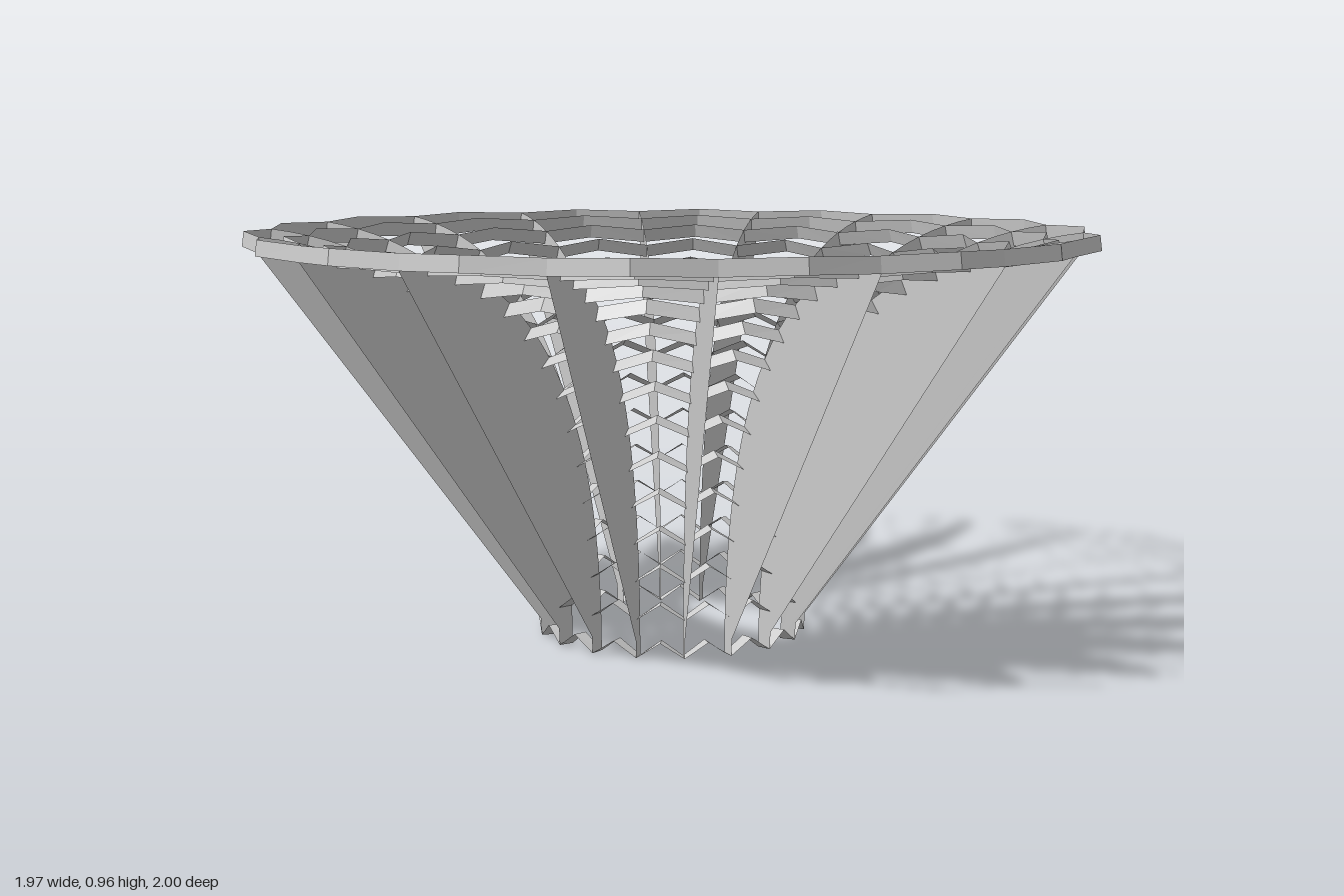
import * as THREE from 'three';

const SIDES = 18;       // fins around the axis
const RINGS = 15;       // zigzag hoops along the flare
const BAND = 0.036;     // hoop width, across the profile
const ZIG = 0.036;      // zigzag height, along the profile

// Flared profile (radius, height): upright at the foot, nearly level at the rim
const flare = new THREE.QuadraticBezierCurve(
  new THREE.Vector2(0.32, 0),
  new THREE.Vector2(0.32, 0.84),
  new THREE.Vector2(0.964, 0.92)
);

// Profile point: moved along the tangent (t) and towards the inside (n)
function profile(u, t, n) {
  const p = flare.getPointAt(u), d = flare.getTangentAt(u);
  return new THREE.Vector2(p.x + t * d.x - n * d.y, p.y + t * d.y + n * d.x);
}

// Zigzag hoop: peaks between the fins, valleys on the fins
function hoopGeometry(u) {
  const pos = [], index = [], count = SIDES * 2;
  for (let i = 0; i < count; i++) {
    const a = (i / count) * Math.PI * 2;
    const t = i % 2 === 0 ? ZIG : 0;
    for (const n of [0, BAND]) {
      const p = profile(u, t, n);
      pos.push(p.x * Math.sin(a), p.y, p.x * Math.cos(a));
    }
    const j = (i + 1) % count;
    index.push(2 * i, 2 * j, 2 * j + 1, 2 * i, 2 * j + 1, 2 * i + 1);
  }
  const g = new THREE.BufferGeometry();
  g.setAttribute('position', new THREE.Float32BufferAttribute(pos, 3));
  g.setIndex(index);
  const flat = g.toNonIndexed();
  flat.computeVertexNormals();
  return flat;
}

// Flat fin: curved edge along the inside of the hoops, straight outer edge
function finGeometry() {
  const points = [profile(0, 0, 0)];
  const steps = 28;
  for (let i = 0; i <= steps; i++) points.push(profile(i / steps, 0, BAND));
  points.push(profile(1, 0, 0), new THREE.Vector2(0.322, 0.04));
  return new THREE.ShapeGeometry(new THREE.Shape(points));
}

export function createModel() {
  const model = new THREE.Group();
  model.name = 'flaredBowl';
  const material = new THREE.MeshStandardMaterial({
    color: 0xcccccc, flatShading: true, side: THREE.DoubleSide
  });

  // Hoops
  const hoops = new THREE.Group();
  hoops.name = 'zigzagHoops';
  for (let i = 0; i < RINGS; i++) {
    const hoop = new THREE.Mesh(hoopGeometry(i / (RINGS - 1)), material);
    hoop.name = 'hoop' + (i + 1);
    hoops.add(hoop);
  }
  model.add(hoops);

  // Radial fins
  const fins = new THREE.Group();
  fins.name = 'radialFins';
  const finShape = finGeometry();
  for (let i = 0; i < SIDES; i++) {
    const fin = new THREE.Mesh(finShape, material);
    fin.name = 'fin' + (i + 1);
    fin.rotation.y = (i / SIDES) * Math.PI * 2;
    fins.add(fin);
  }
  model.add(fins);

  return model;
}
